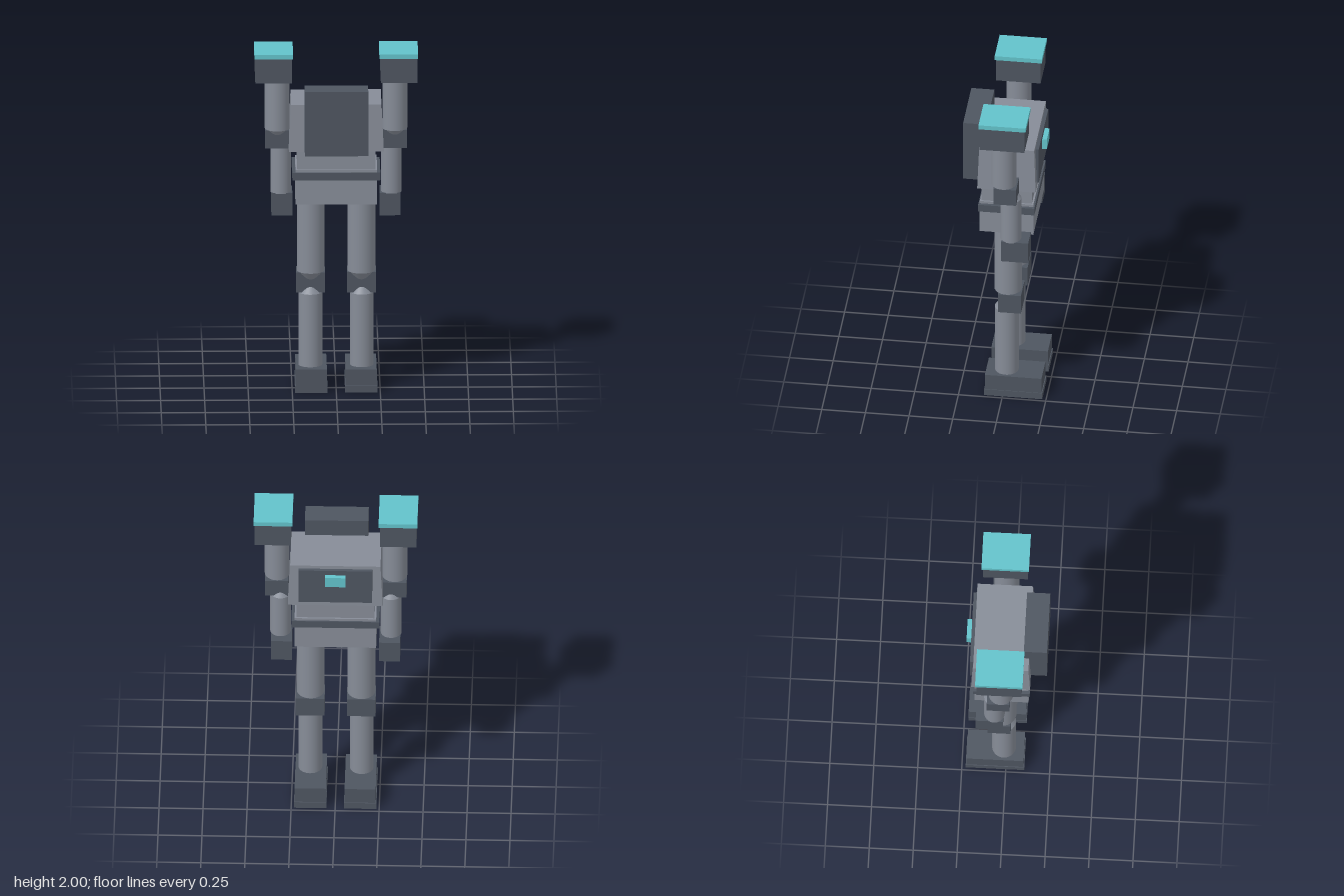
import * as THREE from 'three';

const paint = (name, color) => {
  const m = new THREE.MeshStandardMaterial({ color });
  m.name = name;
  return m;
};

export function createModel() {
  const grey = paint('light grey plating', 0x868c97);
  const dark = paint('dark slate armour', 0x4e5560);
  const cyan = paint('cyan accent', 0x62c2ca);
  const model = new THREE.Group();
  model.name = 'robot';

  // Box given by its limits along each axis
  const box = (parent, name, mat, [x0, x1], [y0, y1], [z0, z1]) => {
    const mesh = new THREE.Mesh(new THREE.BoxGeometry(x1 - x0, y1 - y0, z1 - z0), mat);
    mesh.position.set((x0 + x1) / 2, (y0 + y1) / 2, (z0 + z1) / 2);
    mesh.name = name;
    parent.add(mesh);
    return mesh;
  };

  // Round limb; a bevel at the bottom or top narrows it into the joint
  const limb = (parent, name, x, z, r, y0, y1, bevelLow = 0, bevelHigh = 0) => {
    const wall = [[r - bevelLow * 0.7, y0], [r, y0 + bevelLow], [r, y1 - bevelHigh], [r - bevelHigh * 0.7, y1]];
    const pieces = [];
    if (bevelLow) pieces.push([wall[0], wall[1]]);
    pieces.push([wall[1], wall[2]]);
    if (bevelHigh) pieces.push([wall[2], wall[3]]);
    pieces.push([[0, y0], wall[0]], [wall[3], [0, y1]]);
    const group = new THREE.Group();
    group.name = name;
    for (const piece of pieces) {
      const points = piece.map(([a, b]) => new THREE.Vector2(a, b));
      group.add(new THREE.Mesh(new THREE.LatheGeometry(points, 32), grey));
    }
    group.children.forEach((mesh, i) => { mesh.name = name + 'Section' + (i + 1); });
    group.position.set(x, 0, z);
    parent.add(group);
  };

  // Chest, slightly narrower at the top
  const chest = box(model, 'chest', grey, [-0.27, 0.27], [1.435, 1.71], [-0.195, 0.14]);
  const p = chest.geometry.attributes.position;
  for (let i = 0; i < p.count; i++) {
    if (p.getY(i) > 0) p.setXYZ(i, p.getX(i) * 0.95, p.getY(i), p.getZ(i) * 0.94);
  }
  chest.geometry.computeVertexNormals();

  // Torso and its plates
  box(model, 'abdomen', grey, [-0.222, 0.222], [1.3, 1.44], [-0.167, 0.122]);
  box(model, 'pelvis', grey, [-0.232, 0.232], [1.12, 1.325], [-0.177, 0.13]);
  box(model, 'belt', dark, [-0.25, 0.25], [1.265, 1.31], [-0.185, 0.137]);
  box(model, 'frontBlock', dark, [-0.18, 0.18], [1.435, 1.815], [0.1, 0.232]);
  box(model, 'backPanel', dark, [-0.21, 0.21], [1.465, 1.69], [-0.205, -0.18]);
  box(model, 'backLight', cyan, [-0.058, 0.058], [1.595, 1.66], [-0.232, -0.2]);

  for (const side of [1, -1]) {
    const word = side > 0 ? 'left' : 'right';
    const across = (a, b) => (side > 0 ? [a, b] : [-b, -a]);

    // Arm: shoulder block above, elbow in the middle, hand below
    const arm = new THREE.Group();
    arm.name = word + 'Arm';
    model.add(arm);
    box(arm, 'shoulderCap', cyan, across(0.245, 0.465), [1.973, 2], [-0.163, 0.107]);
    box(arm, 'shoulderBlock', dark, across(0.253, 0.46), [1.83, 1.974], [-0.155, 0.101]);
    limb(arm, 'upperArm', side * 0.334, -0.022, 0.071, 1.475, 1.835, 0.055);
    box(arm, 'elbow', dark, across(0.268, 0.403), [1.425, 1.53], [-0.1, 0.03]);
    limb(arm, 'forearm', side * 0.314, -0.06, 0.059, 1.145, 1.47, 0, 0.05);
    box(arm, 'hand', dark, across(0.248, 0.367), [1.015, 1.148], [-0.165, -0.01]);

    // Leg
    const leg = new THREE.Group();
    leg.name = word + 'Leg';
    model.add(leg);
    limb(leg, 'thigh', side * 0.144, -0.022, 0.079, 0.63, 1.125, 0.06);
    box(leg, 'knee', dark, across(0.063, 0.227), [0.57, 0.69], [-0.105, 0.027]);
    limb(leg, 'shin', side * 0.146, -0.014, 0.068, 0.13, 0.62, 0, 0.055);
    box(leg, 'foot', dark, across(0.053, 0.23), [0.035, 0.136], [-0.223, 0.101]);
    box(leg, 'sole', dark, across(0.05, 0.234), [0, 0.04], [-0.228, 0.105]);
  }
  return model;
}
